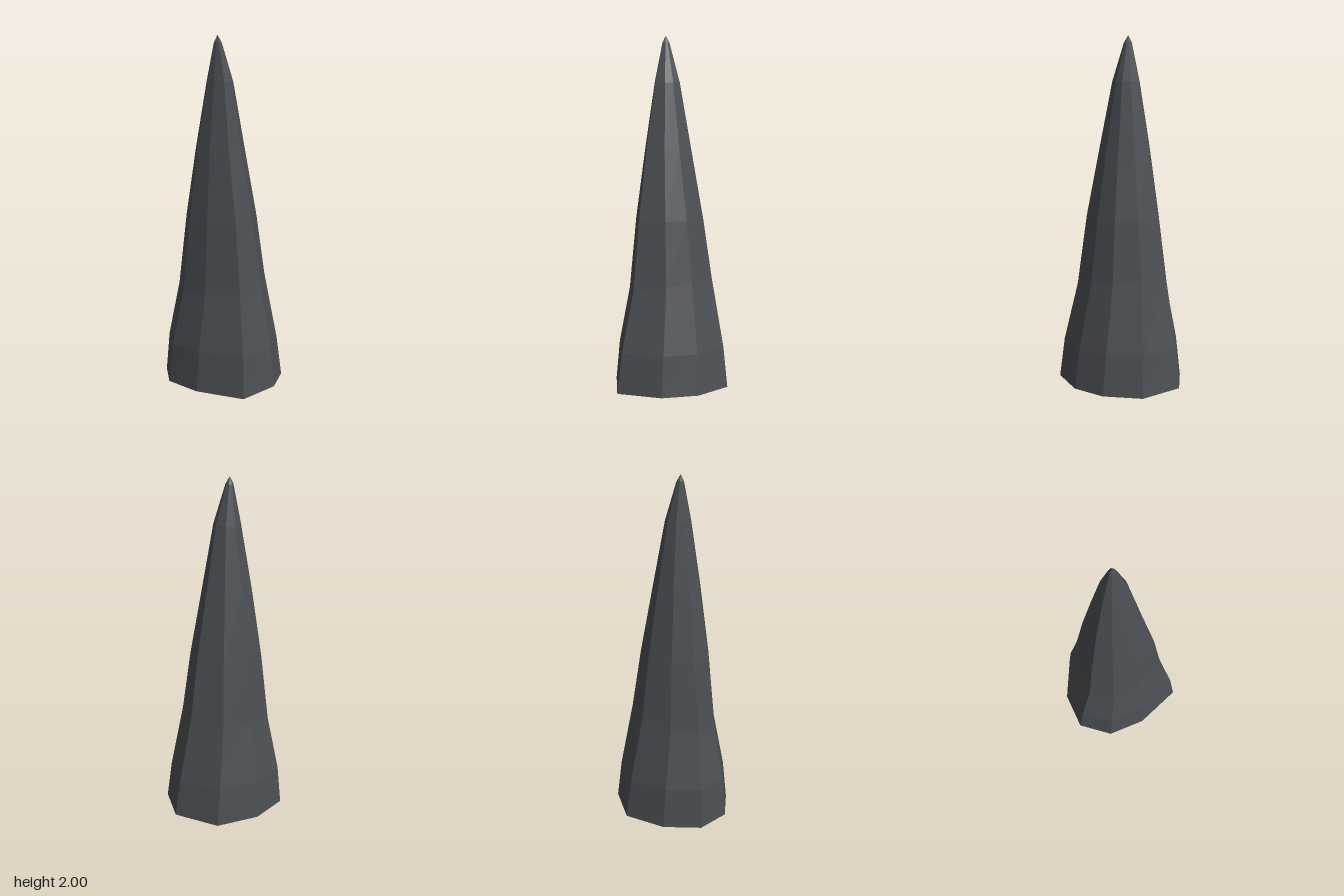
import * as THREE from 'three';

// Nine-cornered footprint (x, z), clockwise seen from above
const FOOTPRINT = [
  [0, -0.36], [0.263, -0.275], [0.347, -0.064], [0.32, 0.145], [0.167, 0.358],
  [-0.112, 0.28], [-0.296, 0.144], [-0.35, -0.06], [-0.225, -0.242],
];

// Rings up the spike: height, scale, sideways drift, twist in degrees, tilt
const RINGS = [
  [0, 1, 0, 0, 0],
  [0.23, 0.925, -0.003, 1.5, 0],
  [0.585, 0.72, -0.006, 4, 0.12],
  [0.97, 0.585, -0.008, 3, 0],
  [1.37, 0.4, -0.015, 1, 0],
  [1.74, 0.218, -0.016, 0, 0],
  [1.96, 0.062, -0.027, 0, 0],
];
const TIP = [-0.028, 2, 0];

function ringPoints([y, scale, drift, twist, tilt]) {
  const a = THREE.MathUtils.degToRad(twist);
  return FOOTPRINT.map(([px, pz]) => {
    const x = scale * (px * Math.cos(a) + pz * Math.sin(a)) + drift;
    const z = scale * (pz * Math.cos(a) - px * Math.sin(a));
    return [x, y + tilt * (x - z), z];
  });
}

function facetedGeometry(triangles) {
  const geometry = new THREE.BufferGeometry();
  geometry.setAttribute('position', new THREE.Float32BufferAttribute(triangles.flat(2), 3));
  geometry.computeVertexNormals();
  return geometry;
}

export function createModel() {
  const group = new THREE.Group();
  group.name = 'rockSpike';
  const stone = new THREE.MeshStandardMaterial({ color: 0x4b4f53, flatShading: true });
  stone.name = 'darkStone';

  const rings = RINGS.map(ringPoints);
  const shaft = [], point = [], underside = [];
  const n = FOOTPRINT.length;
  const last = rings.length - 1;
  for (let i = 0; i < n; i++) {
    const k = (i + 1) % n;
    // Faceted sides between neighbouring rings
    for (let r = 0; r < last; r++) {
      const a = rings[r][i], b = rings[r][k];
      const c = rings[r + 1][i], d = rings[r + 1][k];
      shaft.push([b, a, c], [b, c, d]);
    }
    // Small closing point and flat base
    point.push([rings[last][k], rings[last][i], TIP]);
    underside.push([[0, 0, 0], rings[0][i], rings[0][k]]);
  }

  for (const [name, triangles] of Object.entries({ shaft, point, underside })) {
    const mesh = new THREE.Mesh(facetedGeometry(triangles), stone);
    mesh.name = name;
    group.add(mesh);
  }
  return group;
}
